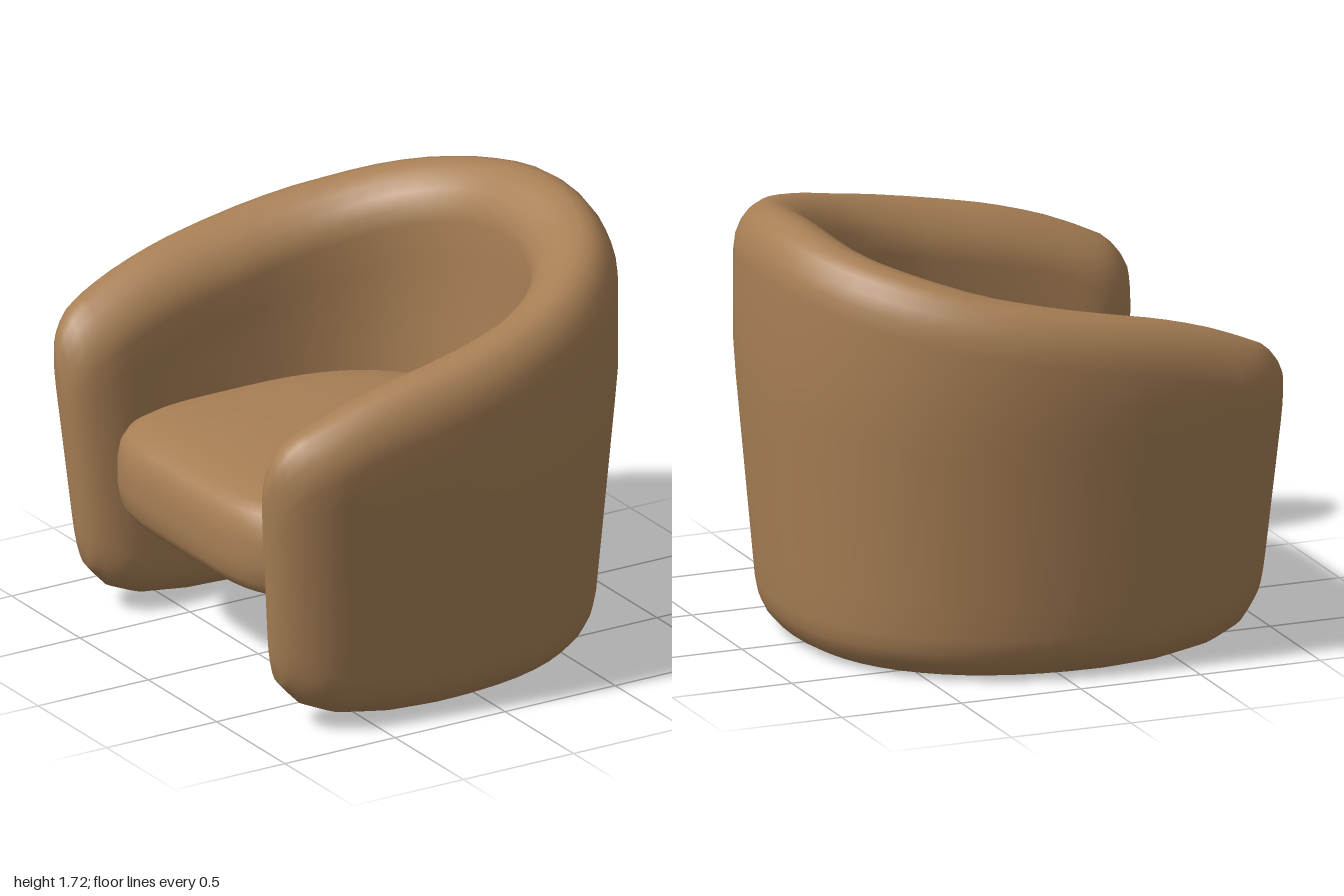
import * as THREE from 'three';
import { mergeVertices } from 'three/addons/utils/BufferGeometryUtils.js';

// Smooth skin through a list of closed rings with equal point counts
function loft(rings) {
  const n = rings[0].length;
  const index = [];
  for (let i = 0; i < rings.length - 1; i++) {
    for (let j = 0; j < n; j++) {
      const k = (j + 1) % n;
      const a = i * n + j, b = a + n, c = (i + 1) * n + k, d = i * n + k;
      index.push(a, b, c, a, c, d);
    }
  }
  const geo = new THREE.BufferGeometry();
  geo.setAttribute('position', new THREE.Float32BufferAttribute(rings.flat(2), 3));
  geo.setIndex(index);
  const merged = mergeVertices(geo, 1e-4);
  merged.computeVertexNormals();
  return merged;
}

// Piecewise linear lookup
function lookup(table, x) {
  if (x <= table[0][0]) return table[0][1];
  for (let i = 1; i < table.length; i++) {
    const [x0, y0] = table[i - 1], [x1, y1] = table[i];
    if (x <= x1) return y0 + (y1 - y0) * (x - x0) / (x1 - x0);
  }
  return table[table.length - 1][1];
}

// Signed power for superellipses
const pw = (v, n) => Math.sign(v) * Math.pow(Math.abs(v), 2 / n);

const RIM = [[-0.95, 1.02], [-0.93, 1.12], [-0.9, 1.18], [-0.85, 1.235], [-0.72, 1.295],
  [-0.58, 1.35], [-0.4, 1.4], [0, 1.48], [0.3, 1.545], [0.526, 1.612], [0.655, 1.652],
  [0.727, 1.682], [0.761, 1.704], [0.77, 1.715]];
const HEM = [[-0.95, 0.3], [-0.93, 0.2], [-0.84, 0.1], [-0.7, 0.045], [-0.45, 0.01], [-0.2, 0]];
const BEND = -0.2; // x where the arms start to curve into the back
const TIP = -0.95;
const ROUND = 0.26; // length of the rounded arm end

// Plan stations of one half: outer and inner point, from arm tip to the middle of the back
function halfStations() {
  const list = [];
  const arm = (x, w) => {
    const t = (BEND - x) / 0.75;
    const c = 0.825 - 0.06 * t * t;
    list.push({ outer: [x, c + w], inner: [x, c - w] });
  };
  for (let i = 0; i <= 8; i++) {
    const f = (i / 8) * Math.PI / 2;
    arm(TIP + ROUND * (1 - Math.cos(f)), 0.165 * Math.sin(f));
  }
  for (let i = 1; i < 6; i++) arm(TIP + ROUND + (BEND - TIP - ROUND) * i / 6, 0.165 + 0.01 * i / 6);
  for (let i = 0; i <= 14; i++) {
    const f = Math.PI / 2 * (1 - i / 14);
    const c = Math.max(0, Math.cos(f)), s = Math.max(0, Math.sin(f));
    list.push({
      outer: [BEND + 1.14 * pw(c, 2.23), pw(s, 2.23)],
      inner: [BEND + 0.8 * pw(c, 2.4), 0.65 * pw(s, 2.4)],
    });
  }
  return list;
}

// Upright section with a rounded rim and hem, tapered towards the floor
function shellSection({ outer, inner }) {
  const mx = (outer[0] + inner[0]) / 2;
  const top = lookup(RIM, mx), bottom = lookup(HEM, mx);
  const hi = top - 0.2, lo = bottom + 0.18;
  const profile = [];
  const SIDE = 8, ARC = 10;
  for (let i = 0; i < SIDE; i++) profile.push([1, lo + (hi - lo) * i / SIDE]);
  for (let i = 0; i < ARC; i++) {
    const f = Math.PI * i / ARC;
    const lean = 0.15 * Math.sin(f) ** 2; // the ridge sits slightly outward
    profile.push([pw(Math.cos(f), 2.1) * (1 - lean) + lean, hi + 0.2 * pw(Math.sin(f), 2.1)]);
  }
  for (let i = 0; i < SIDE; i++) profile.push([-1, hi + (lo - hi) * i / SIDE]);
  for (let i = 0; i < ARC; i++) {
    const f = Math.PI * i / ARC;
    profile.push([-pw(Math.cos(f), 2.2), lo - 0.18 * pw(Math.sin(f), 2.2)]);
  }
  return profile.map(([u, y]) => {
    const t = (u + 1) / 2;
    const k = Math.min(1, 0.894 + 0.095 * y);
    return [(inner[0] + (outer[0] - inner[0]) * t) * k, y, (inner[1] + (outer[1] - inner[1]) * t) * k];
  });
}

function shellGeometry() {
  const half = halfStations();
  const flip = ([x, z]) => [x, -z];
  const other = half.slice(0, -1).reverse().map((s) => ({ outer: flip(s.outer), inner: flip(s.inner) }));
  return loft([...half, ...other].map(shellSection));
}

// Cushion: D-shaped outline scaled ring by ring from underside to crown, edges tucked into the shell
function seatGeometry() {
  const cx = -0.2;
  const rings = [[0, 0.455], [0.5, 0.455], [0.86, 0.46], [0.94, 0.485], [0.985, 0.535], [1, 0.61], [1, 0.7],
    [0.985, 0.765], [0.95, 0.81], [0.88, 0.843], [0.7, 0.866], [0.4, 0.88], [0, 0.885]];
  const N = 64;
  return loft(rings.map(([s, y]) => {
    const ring = [];
    for (let j = 0; j < N; j++) {
      const f = (j / N) * Math.PI * 2;
      const c = Math.cos(f), q = Math.sin(f);
      const n = c > 0 ? 2.5 : 4.5;
      const x = (c > 0 ? 0.81 : 0.67) * pw(c, n) * s;
      ring.push([cx + x, y, 0.675 * pw(q, n) * s]);
    }
    return ring;
  }));
}

export function createModel() {
  const group = new THREE.Group();
  group.name = 'tubArmchair';
  const leather = new THREE.MeshStandardMaterial({ color: 0xa87f55 });
  leather.name = 'tanLeather';

  const shell = new THREE.Mesh(shellGeometry(), leather);
  shell.name = 'backAndArms';
  const seat = new THREE.Mesh(seatGeometry(), leather);
  seat.name = 'seatCushion';
  group.add(shell, seat);
  return group;
}
